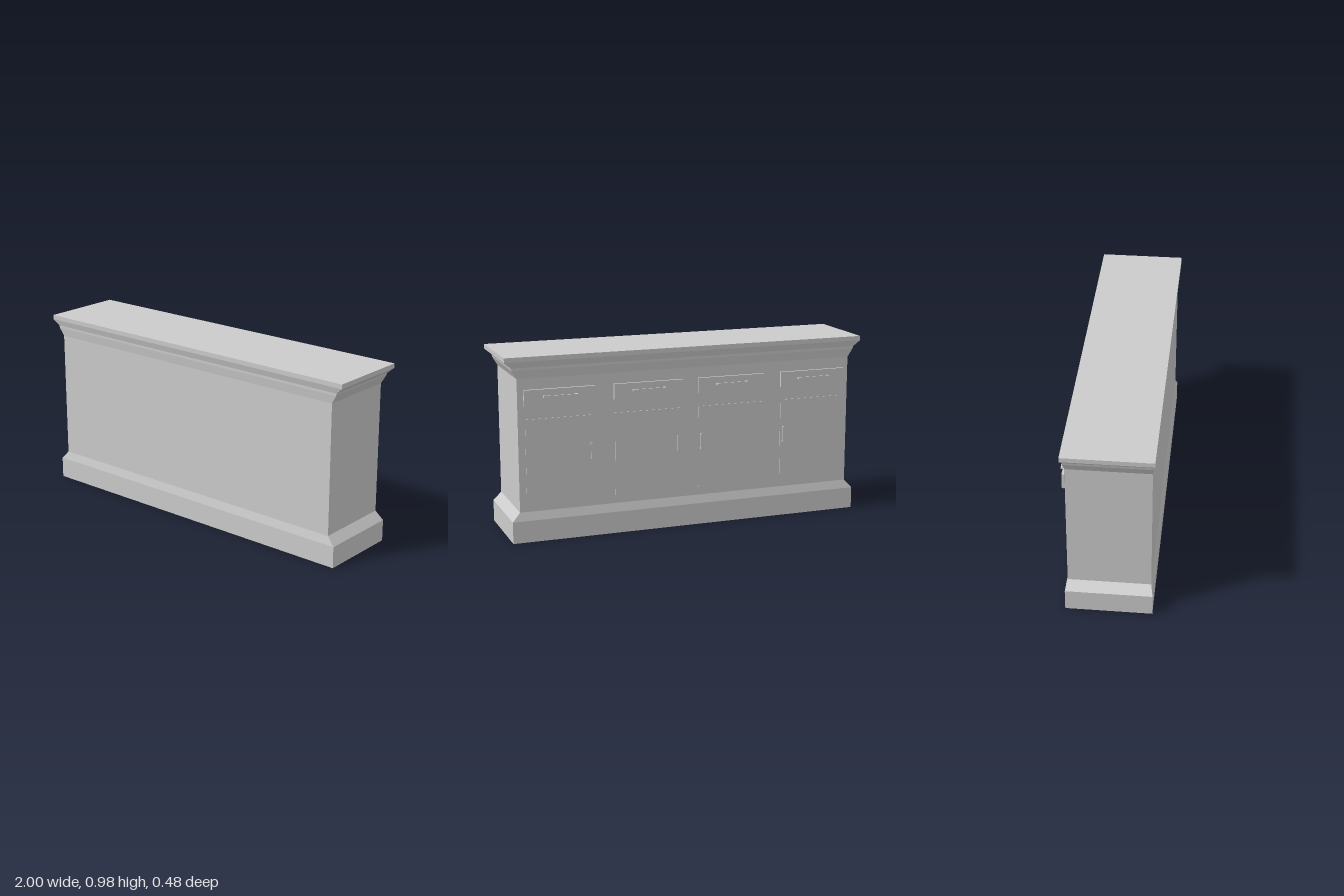
import * as THREE from 'three';

const material = new THREE.MeshStandardMaterial({ color: 0xcccccc, flatShading: true });

// Stacks rectangular rings [y, halfWidth, frontZ, backZ] into a closed moulded solid
function moulding(name, rings) {
  const pos = [];
  const corners = ([y, w, f, b]) => [[-w, y, f], [w, y, f], [w, y, b], [-w, y, b]];
  const quad = (a, b, c, d) => [a, b, c, a, c, d].forEach((p) => pos.push(...p));
  for (let i = 0; i < rings.length - 1; i++) {
    const lo = corners(rings[i]);
    const hi = corners(rings[i + 1]);
    for (let k = 0; k < 4; k++) {
      const n = (k + 1) % 4;
      quad(lo[k], lo[n], hi[n], hi[k]);
    }
  }
  quad(...corners(rings[0]).reverse());
  quad(...corners(rings[rings.length - 1]));
  const geometry = new THREE.BufferGeometry();
  geometry.setAttribute('position', new THREE.Float32BufferAttribute(pos, 3));
  geometry.computeVertexNormals();
  const mesh = new THREE.Mesh(geometry, material);
  mesh.name = name;
  return mesh;
}

// Box given by its limits on each axis
function box(name, x0, x1, y0, y1, z0, z1) {
  const mesh = new THREE.Mesh(new THREE.BoxGeometry(x1 - x0, y1 - y0, z1 - z0), material);
  mesh.position.set((x0 + x1) / 2, (y0 + y1) / 2, (z0 + z1) / 2);
  mesh.name = name;
  return mesh;
}

// Bracket pull: a bar on two posts, lying along x and standing out towards -z
function pull(name, length, thick, depth) {
  const group = new THREE.Group();
  const h = length / 2, t = thick / 2;
  group.add(box('pullBar', -h, h, -t, t, -depth, -depth + 0.006));
  for (const s of [-1, 1]) {
    const x = s * (h - t);
    group.add(box('pullPost', x - t, x + t, -t, t, -depth + 0.006, 0.002));
  }
  group.name = name;
  return group;
}

export function createModel() {
  const model = new THREE.Group();
  model.name = 'sideboard';

  // Carcass: plinth, sloped base trim, plain body, stepped cornice and top
  model.add(moulding('carcass', [
    [0, 0.976, 0.235, -0.212],
    [0.116, 0.976, 0.235, -0.212],
    [0.162, 0.934, 0.225, -0.201],
    [0.865, 0.934, 0.225, -0.201],
    [0.91, 0.96, 0.231, -0.208],
    [0.923, 0.963, 0.231, -0.208],
    [0.955, 1, 0.24, -0.217],
    [0.979, 1, 0.24, -0.217],
  ]));

  // Four bays on the -z side; pullX places each door pull near its opening edge
  const bays = [
    { x: 0.713, pullX: 0.545 },
    { x: 0.232, pullX: 0.066 },
    { x: -0.237, pullX: -0.068 },
    { x: -0.715, pullX: -0.548 },
  ];
  for (const { x, pullX } of bays) {
    const bay = new THREE.Group();
    bay.name = 'bay';

    // Drawer front on a slightly smaller backing
    bay.add(box('drawerBacking', x - 0.18, x + 0.18, 0.738, 0.795, -0.208, -0.195));
    bay.add(box('drawerFront', x - 0.19, x + 0.19, 0.725, 0.808, -0.22, -0.207));
    const drawerPull = pull('drawerPull', 0.18, 0.011, 0.018);
    drawerPull.position.set(x, 0.77, -0.22);
    bay.add(drawerPull);

    // Thin door panel with an upright pull
    bay.add(box('door', x - 0.183, x + 0.183, 0.207, 0.652, -0.2045, -0.195));
    const doorPull = pull('doorPull', 0.086, 0.01, 0.0105);
    doorPull.rotation.z = Math.PI / 2;
    doorPull.position.set(pullX, 0.46, -0.2045);
    bay.add(doorPull);

    model.add(bay);
  }
  return model;
}
